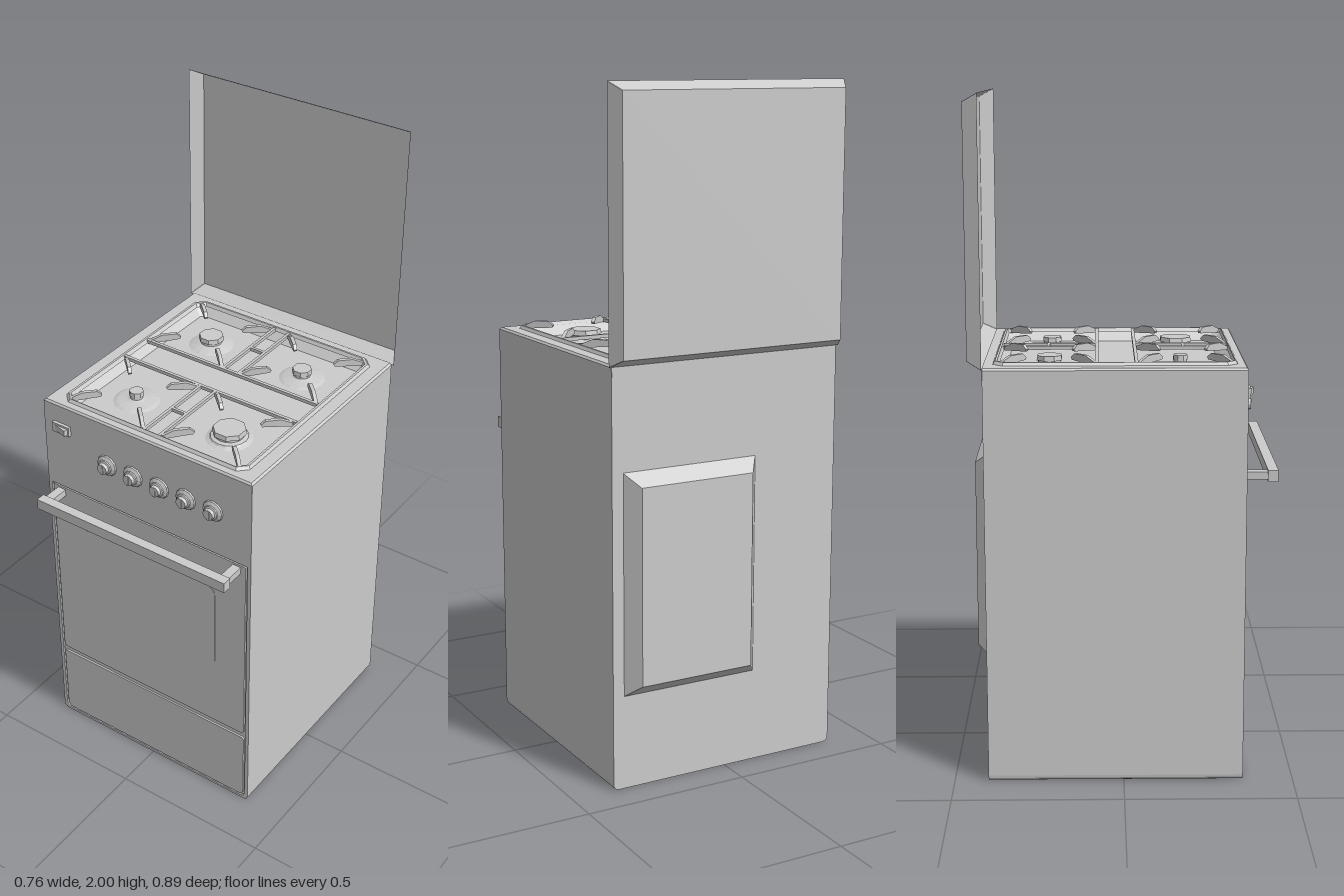
import * as THREE from 'three';

const mat = new THREE.MeshStandardMaterial({ color: 0xcccccc, flatShading: true, side: THREE.DoubleSide });

function add(parent, name, geo, x = 0, y = 0, z = 0) {
  const m = new THREE.Mesh(geo, mat);
  m.name = name;
  m.position.set(x, y, z);
  parent.add(m);
  return m;
}
const box = (w, h, d) => new THREE.BoxGeometry(w, h, d);

// Rectangle with cut corners (8 points) lying at height y
function loop(x0, x1, z0, z1, c, y) {
  return [[x0 + c, z0], [x1 - c, z0], [x1, z0 + c], [x1, z1 - c],
    [x1 - c, z1], [x0 + c, z1], [x0, z1 - c], [x0, z0 + c]].map(([x, z]) => [x, y, z]);
}

// Skin a stack of loops; optionally close the last one
function loft(loops, cap = true) {
  const pos = [];
  for (let k = 0; k < loops.length - 1; k++) {
    const a = loops[k], b = loops[k + 1];
    for (let i = 0; i < 8; i++) {
      const j = (i + 1) % 8;
      pos.push(...a[i], ...b[i], ...b[j], ...a[i], ...b[j], ...a[j]);
    }
  }
  if (cap) {
    const l = loops[loops.length - 1];
    for (let i = 1; i < 7; i++) pos.push(...l[0], ...l[i + 1], ...l[i]);
  }
  const g = new THREE.BufferGeometry();
  g.setAttribute('position', new THREE.Float32BufferAttribute(pos, 3));
  g.computeVertexNormals();
  return g;
}

// Rounded rectangle with separate bottom and top radii
function roundRect(x0, x1, y0, y1, rb, rt) {
  const s = new THREE.Shape();
  s.moveTo(x0 + rb, y0);
  s.lineTo(x1 - rb, y0);
  s.quadraticCurveTo(x1, y0, x1, y0 + rb);
  s.lineTo(x1, y1 - rt);
  s.quadraticCurveTo(x1, y1, x1 - rt, y1);
  s.lineTo(x0 + rt, y1);
  s.quadraticCurveTo(x0, y1, x0, y1 - rt);
  s.lineTo(x0, y0 + rb);
  s.quadraticCurveTo(x0, y0, x0 + rb, y0);
  return s;
}
const extrude = (shape, depth) => new THREE.ExtrudeGeometry(shape, { depth, bevelEnabled: false, curveSegments: 4 });

function makeHob() {
  const hob = new THREE.Group();
  hob.name = 'hob';

  // Top sheet folding down into the sunken tray
  add(hob, 'hobTop', loft([
    loop(-0.37, 0.37, -0.40, 0.352, 0.001, 1.205),
    loop(-0.37, 0.37, -0.40, 0.352, 0.001, 1.234),
    loop(-0.364, 0.364, -0.40, 0.347, 0.001, 1.24),
    loop(-0.32, 0.32, -0.367, 0.322, 0.025, 1.24),
    loop(-0.292, 0.292, -0.34, 0.285, 0.01, 1.21),
  ]));

  // Pan support frame
  add(hob, 'grateFrame', loft([
    loop(-0.326, 0.326, -0.373, 0.326, 0.028, 1.24),
    loop(-0.32, 0.32, -0.367, 0.32, 0.026, 1.249),
    loop(-0.313, 0.313, -0.361, 0.318, 0.024, 1.249),
    loop(-0.306, 0.306, -0.355, 0.314, 0.022, 1.238),
  ], false));

  // Bars across and along the pan support
  for (const z of [-0.077, 0.037]) add(hob, 'grateCrossBar', box(0.62, 0.011, 0.01), 0, 1.242, z);
  for (const [z0, z1, mid] of [[-0.358, -0.077, -0.222], [0.037, 0.318, 0.183]]) {
    for (const x of [-0.027, 0.027]) add(hob, 'grateLongBar', box(0.009, 0.011, z1 - z0), x, 1.242, (z0 + z1) / 2);
    add(hob, 'grateTie', box(0.054, 0.011, 0.009), 0, 1.242, mid);
  }

  // Burners, each with four prongs pointing in from the corners
  const prong = new THREE.Shape([[0, 1.236], [0.09, 1.243], [0.094, 1.25], [0.08, 1.262], [0.035, 1.262], [0, 1.247]]
    .map(([x, y]) => new THREE.Vector2(x, y)));
  const prongGeo = extrude(prong, 0.011).translate(0, 0, -0.0055);
  const burners = [[-0.167, -0.215, 0.04], [0.167, -0.215, 0.031], [-0.167, 0.168, 0.023], [0.167, 0.168, 0.052]];
  for (const [bx, bz, r] of burners) {
    const burner = new THREE.Group();
    burner.name = 'burner';
    hob.add(burner);
    const base = [[0.073, 1.209], [0.06, 1.214], [r + 0.004, 1.219], [r * 0.85, 1.222], [r * 0.85, 1.231]];
    add(burner, 'burnerBase', new THREE.LatheGeometry(base.map(([x, y]) => new THREE.Vector2(x, y)), 16), bx, 0, bz);
    const cap = add(burner, 'burnerCap', new THREE.CylinderGeometry(r * 0.94, r, 0.014, 8), bx, 1.238, bz);
    cap.rotation.y = Math.PI / 8;
    const cz = bz < 0 ? -0.215 : 0.178;
    for (const sx of [-1, 1]) for (const sz of [-1, 1]) {
      const p = add(burner, 'prong', prongGeo, bx + sx * 0.134, 0, cz + sz * 0.134);
      p.rotation.y = Math.atan2(sz, -sx);
    }
  }
  return hob;
}

function makeControls() {
  const controls = new THREE.Group();
  controls.name = 'controls';
  const profile = [[0.035, 0], [0.033, 0.004], [0.023, 0.009], [0.023, 0.014], [0.018, 0.016], [0.017, 0.026], [0, 0.026]];
  const knob = new THREE.LatheGeometry(profile.map(([x, y]) => new THREE.Vector2(x, y)), 12).rotateX(Math.PI / 2);
  for (let i = 0; i < 5; i++) {
    const x = -0.14 + i * 0.0945;
    add(controls, 'knob', knob, x, 1.092, 0.352);
    add(controls, 'knobGrip', box(0.009, 0.032, 0.006), x, 1.092, 0.377);
  }
  // Rocker switch in its bezel
  add(controls, 'switchBezel', box(0.062, 0.032, 0.012), -0.303, 1.16, 0.356);
  const rocker = add(controls, 'switchRocker', box(0.046, 0.02, 0.012), -0.3, 1.16, 0.362);
  rocker.rotation.y = -0.25;
  return controls;
}

export function createModel() {
  const cooker = new THREE.Group();
  cooker.name = 'cooker';

  // Cabinet
  add(cooker, 'cabinet', extrude(roundRect(-0.37, 0.37, 0, 1.206, 0.018, 0.001), 0.746), 0, 0, -0.40);
  add(cooker, 'controlPanel', box(0.74, 0.265, 0.006), 0, 1.0755, 0.349);

  // Oven door, window and drawer
  add(cooker, 'ovenDoor', extrude(roundRect(-0.352, 0.352, 0.281, 0.938, 0.014, 0.002), 0.008), 0, 0, 0.344);
  add(cooker, 'ovenWindow', extrude(roundRect(-0.245, 0.245, 0.5, 0.81, 0.03, 0.03), 0.003), 0, 0, 0.350);
  add(cooker, 'drawer', extrude(roundRect(-0.352, 0.352, 0.014, 0.262, 0.02, 0.01), 0.008), 0, 0, 0.344);

  // Raised edge framing the door and drawer
  const edge = roundRect(-0.37, 0.37, 0, 0.944, 0.018, 0.001);
  edge.holes.push(roundRect(-0.358, 0.358, 0.009, 0.943, 0.02, 0.002));
  add(cooker, 'frontEdge', extrude(edge, 0.008), 0, 0, 0.344);

  // Door handle
  const handle = new THREE.Group();
  handle.name = 'doorHandle';
  cooker.add(handle);
  add(handle, 'handleBar', box(0.682, 0.034, 0.03), 0, 0.92, 0.429);
  for (const s of [-1, 1]) add(handle, 'handleBracket', box(0.028, 0.022, 0.066), s * 0.321, 0.92, 0.383);

  cooker.add(makeHob(), makeControls());

  // Raised lid: a shallow tray open to the front
  add(cooker, 'lid', loft([
    loop(-0.378, 0.378, 1.235, 2, 0.001, 0.40),
    loop(-0.355, 0.355, 1.258, 1.976, 0.001, 0.443),
  ]).rotateX(-Math.PI / 2));

  // Tapered housing on the back
  add(cooker, 'rearHousing', loft([
    loop(-0.095, 0.335, 0.28, 0.935, 0.001, 0.40),
    loop(-0.06, 0.30, 0.317, 0.898, 0.001, 0.446),
  ]).rotateX(-Math.PI / 2));

  return cooker;
}
